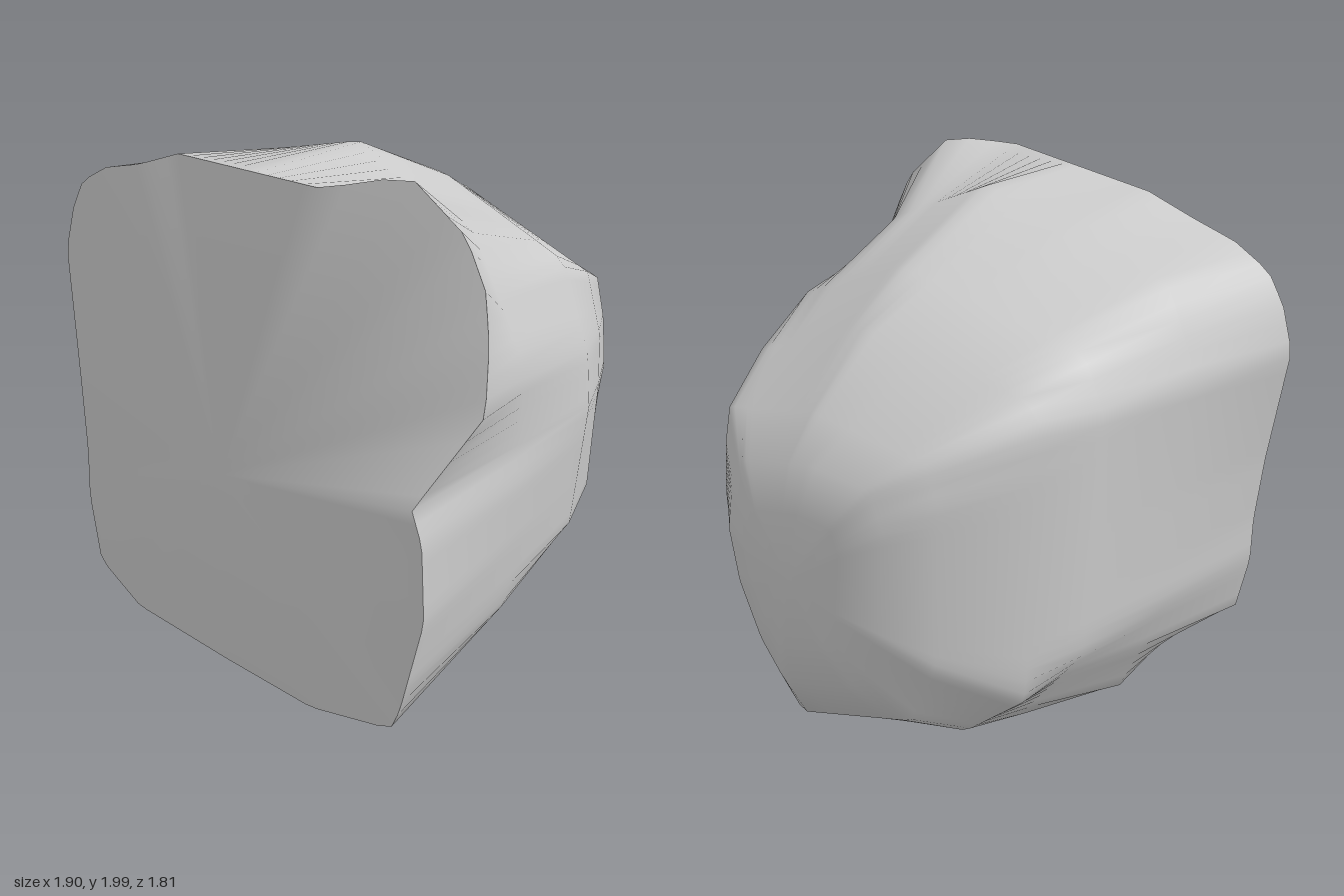
import * as THREE from 'three';

const SIDES = 120;
const CY = 0.92; // height of the core line running front to back

// Rim of the broad front face: x, y, z, anticlockwise from the notch
const rim = [
  [0.85, 0.94, 0.82], [0.81, 1.05, 0.82], [0.95, 1.35, 0.655], [0.915, 1.55, 0.6], [0.86, 1.69, 0.55],
  [0.76, 1.83, 0.52], [0.6, 2, 0.59], [0.42, 1.97, 0.78], [-0.32, 1.91, 0.68], [-0.51, 1.84, 0.695],
  [-0.7, 1.79, 0.685], [-0.85, 1.71, 0.68], [-0.92, 1.6, 0.68], [-0.96, 1.43, 0.7], [-0.86, 0.95, 0.77],
  [-0.82, 0.67, 0.8], [-0.81, 0.48, 0.82], [-0.75, 0.22, 0.84], [-0.5, 0.13, 0.865], [0.02, 0.16, 0.9],
  [0.42, 0.14, 0.88], [0.76, 0.22, 0.86], [0.79, 0.3, 0.85], [0.87, 0.67, 0.83],
];

// Body sections, front to back: z, then corners from the left side, over the top and round the bottom
const sections = [
  [0.25, [[0.82, 0.9], [0.79, 1.35], [0.58, 1.74], [0.1, 1.94], [-0.72, 1.73], [-0.86, 1.42],
    [-0.8, 0.55], [-0.6, 0.05], [0.1, 0.035], [0.6, 0.13], [0.77, 0.4]]],
  [-0.2, [[0.78, 1], [0.76, 1.2], [0.63, 1.52], [0.1, 1.73], [-0.72, 1.6], [-0.8, 1.42],
    [-0.76, 0.5], [-0.5, 0.12], [0, 0], [0.54, 0.19], [0.73, 0.5]]],
  [-0.47, [[0.65, 0.95], [0.64, 1.15], [0.57, 1.38], [0, 1.59], [-0.7, 1.52], [-0.77, 1.44],
    [-0.72, 0.42], [-0.45, 0.17], [0.05, 0.04], [0.47, 0.25], [0.63, 0.5]]],
  [-0.72, [[0.52, 0.9], [0.5, 1.1], [0.46, 1.26], [0, 1.36], [-0.5, 1.33], [-0.56, 1.2],
    [-0.54, 0.6], [-0.42, 0.33], [0.15, 0.1], [0.33, 0.3], [0.46, 0.6]]],
  [-0.84, [[0.36, 0.85], [0.33, 1], [0.25, 1.15], [-0.1, 1.24], [-0.38, 1.24], [-0.43, 1.1],
    [-0.38, 0.7], [-0.25, 0.45], [0.1, 0.32], [0.22, 0.45], [0.32, 0.65]]],
];
const backTip = [-0.03, 0.82, -0.905];

// Resample an outline where evenly spread rays from the core line cross it
function resample(points) {
  return Array.from({ length: SIDES }, (_, i) => {
    const a = (i / SIDES) * Math.PI * 2, dx = Math.cos(a), dy = Math.sin(a);
    const side = ([x, y]) => dx * (y - CY) - dy * x;
    for (let j = 0; j < points.length; j++) {
      const p = points[j], q = points[(j + 1) % points.length];
      const s = side(p), e = side(q);
      if (s > 0 || e <= 0) continue;
      const hit = p.map((v, k) => v + (q[k] - v) * s / (s - e));
      if (dx * hit[0] + dy * (hit[1] - CY) > 0) return hit;
    }
  });
}

// Join rings running front to back, then close onto a tip
function loft(rings, tip, facesFront) {
  const index = [];
  const tri = (a, b, c) => (facesFront ? index.push(a, c, b) : index.push(a, b, c));
  rings.forEach((ring, r) => {
    for (let i = 0; i < SIDES; i++) {
      const a = r * SIDES + i, b = r * SIDES + (i + 1) % SIDES;
      if (r < rings.length - 1) {
        tri(a, a + SIDES, b);
        tri(b, a + SIDES, b + SIDES);
      } else {
        tri(a, rings.length * SIDES, b);
      }
    }
  });
  const geometry = new THREE.BufferGeometry();
  geometry.setAttribute('position', new THREE.Float32BufferAttribute([...rings.flat(), tip].flat(), 3));
  geometry.setIndex(index);
  geometry.computeVertexNormals();
  return geometry;
}

export function createModel() {
  const group = new THREE.Group();
  group.name = 'boulder';
  const material = new THREE.MeshStandardMaterial({ color: 0xcccccc });
  const add = (name, geometry) => {
    const mesh = new THREE.Mesh(geometry, material);
    mesh.name = name;
    group.add(mesh);
  };

  const rimRing = resample(rim);
  const bodyRings = sections.map(([z, corners]) => resample(corners.map(([x, y]) => [x, y, z])));
  // Nearly flat back: the last section drawn in towards the tip
  const backRing = bodyRings.at(-1).map(([x, y]) =>
    [THREE.MathUtils.lerp(x, backTip[0], 0.4), THREE.MathUtils.lerp(y, backTip[1], 0.4), -0.89]);

  // Body with shoulder ridges, tapering to the back
  add('rockBody', loft([rimRing, ...bodyRings, backRing], backTip, false));
  // Broad, slightly domed front face with a sharp rim
  add('frontFace', loft([rimRing], [0.05, 0.93, 0.905], true));
  return group;
}
